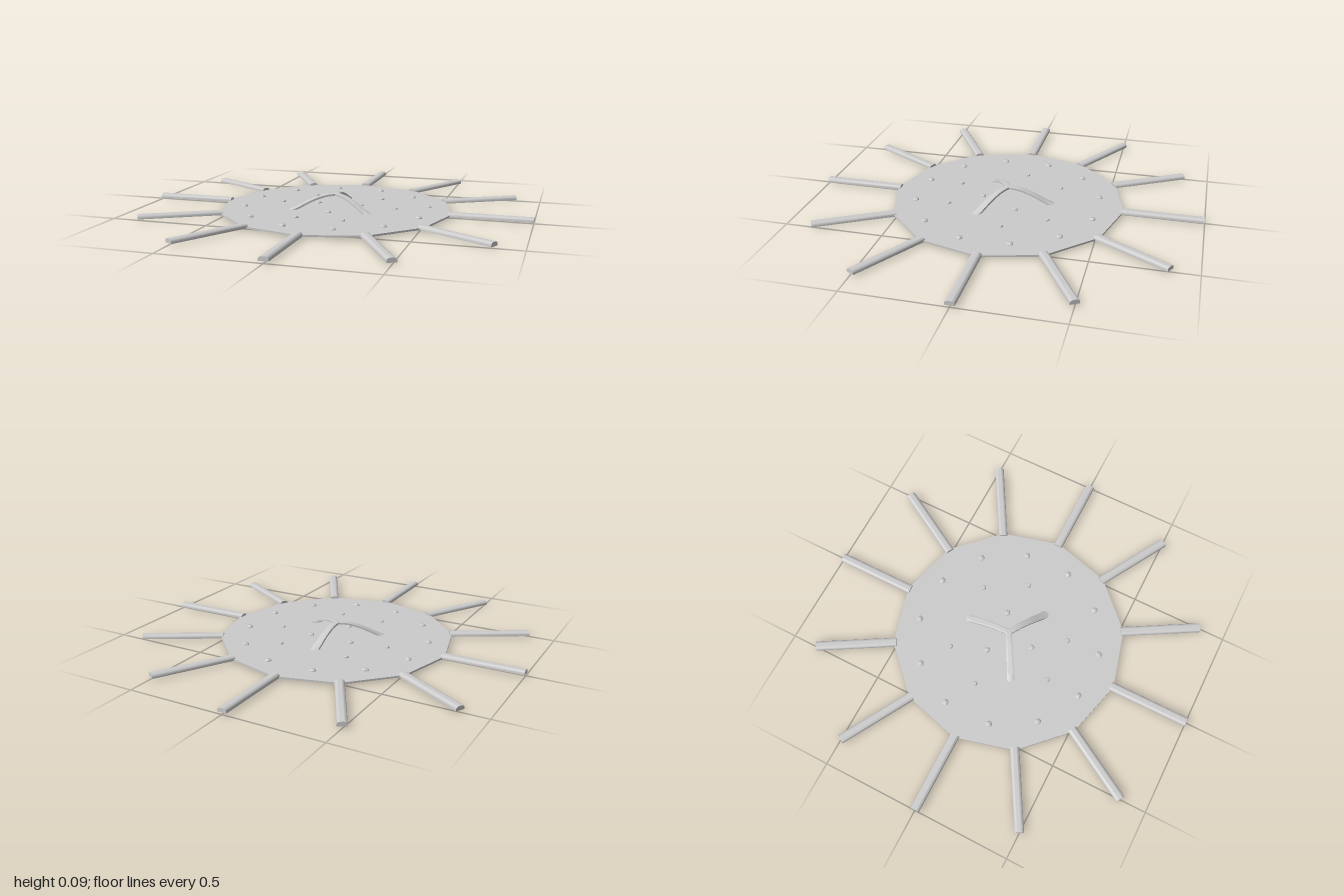
import * as THREE from 'three';
import { toCreasedNormals } from 'three/addons/utils/BufferGeometryUtils.js';

const DISC_BOTTOM = 0.011, DISC_TOP = 0.02;

// Radial bar along +z with a flat base and a low rounded top
function spokeGeometry(inner, outer, width, height) {
  const w = width / 2;
  const profile = new THREE.Shape();
  profile.moveTo(-w, 0);
  profile.lineTo(w, 0);
  profile.lineTo(w, height * 0.5);
  profile.bezierCurveTo(w * 0.8, height * 1.02, w * 0.45, height, 0, height);
  profile.bezierCurveTo(-w * 0.45, height, -w * 0.8, height * 1.02, -w, height * 0.5);
  const geo = new THREE.ExtrudeGeometry(profile, { depth: outer - inner, bevelEnabled: false, curveSegments: 4 });
  geo.translate(0, 0, inner);
  return toCreasedNormals(geo, 0.6);
}

// Arched handle arm along +z: a box bent over a curve, flaring toward its foot
function armGeometry() {
  const arch = new THREE.SplineCurve([
    new THREE.Vector2(0, 0.088), new THREE.Vector2(0.06, 0.083), new THREE.Vector2(0.13, 0.062),
    new THREE.Vector2(0.2, 0.03), new THREE.Vector2(0.25, 0.011), new THREE.Vector2(0.285, 0.008),
  ]);
  const geo = new THREE.BoxGeometry(1, 1, 1, 4, 1, 20);
  const pos = geo.attributes.position;
  for (let i = 0; i < pos.count; i++) {
    const u = pos.getX(i) * 2, v = pos.getY(i), t = pos.getZ(i) + 0.5;
    const p = arch.getPoint(t), d = arch.getTangent(t);
    const halfWidth = 0.015 + 0.012 * t * t;
    const h = v > 0 ? 0.008 * (1 - 0.55 * u * u) : -0.006;
    pos.setXYZ(i, u * halfWidth, p.y + h * d.x, p.x - h * d.y);
  }
  return toCreasedNormals(geo, 0.7);
}

export function createModel() {
  const model = new THREE.Group();
  const grey = new THREE.MeshStandardMaterial({ color: 0xcccccc });

  // Repeats a geometry evenly around the vertical axis
  function ring(name, geometry, count, start, place = () => {}) {
    const group = new THREE.Group();
    group.name = name;
    for (let i = 0; i < count; i++) {
      const mesh = new THREE.Mesh(geometry, grey);
      const angle = start + (i * Math.PI * 2) / count;
      mesh.name = name.replace(/s$/, '');
      mesh.rotation.y = angle;
      place(mesh, angle);
      group.add(mesh);
    }
    model.add(group);
  }

  // Twelve-sided thin plate with a corner under each spoke
  const plateGeo = new THREE.CylinderGeometry(0.6, 0.6, DISC_TOP - DISC_BOTTOM, 12);
  const plate = new THREE.Mesh(toCreasedNormals(plateGeo, 0.3), grey);
  plate.name = 'plate';
  plate.position.y = (DISC_TOP + DISC_BOTTOM) / 2;
  model.add(plate);

  // Spokes
  ring('spokes', spokeGeometry(0.585, 1, 0.046, 0.021), 12, 0, (m) => { m.position.y = DISC_BOTTOM + 0.0005; });

  // Three-legged arched handle
  ring('handleArms', armGeometry(), 3, Math.PI);

  // Rings of small domed studs
  function studs(name, count, start, distance, radius) {
    const geo = new THREE.LatheGeometry([
      new THREE.Vector2(radius, 0), new THREE.Vector2(radius, 0.005),
      new THREE.Vector2(radius * 0.75, 0.009), new THREE.Vector2(0, 0.01),
    ], 12);
    geo.deleteAttribute('normal');
    ring(name, toCreasedNormals(geo, 0.8), count, start, (m, a) => {
      m.position.set(Math.sin(a) * distance, DISC_TOP - 0.001, Math.cos(a) * distance);
    });
  }
  studs('outerStuds', 12, Math.PI / 12, 0.476, 0.016);
  studs('innerStuds', 3, 0, 0.133, 0.015);
  // Middle studs sit in pairs either side of each gap between the arms
  studs('middleLeftStuds', 3, 0.4, 0.307, 0.0125);
  studs('middleRightStuds', 3, -0.4, 0.307, 0.0125);

  return model;
}
